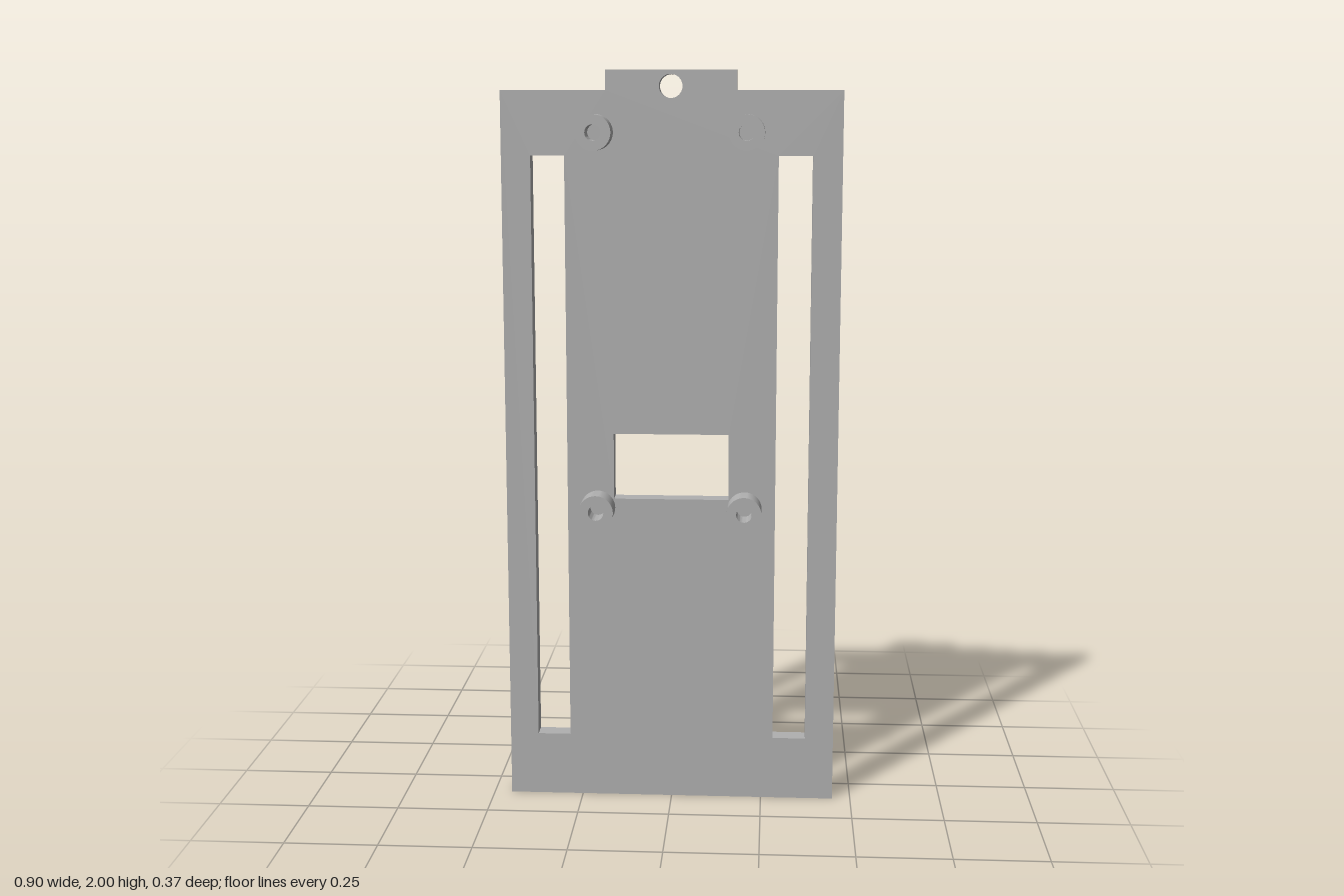
import * as THREE from 'three';
import { toCreasedNormals } from 'three/addons/utils/BufferGeometryUtils.js';

const BACK = 0.063, FRONT = 0.113; // plate faces along z
const CREASE = Math.PI / 5;

const polygon = (Type, points) => new Type(points.map(([x, y]) => new THREE.Vector2(x, y)));

const rect = (Type, x0, x1, y0, y1) => polygon(Type, [[x0, y0], [x1, y0], [x1, y1], [x0, y1]]);

const circleHole = (x, y, r) => new THREE.Path().absarc(x, y, r, 0, Math.PI * 2, true);

function extrude(shape, z0, z1) {
  const geometry = new THREE.ExtrudeGeometry(shape, { depth: z1 - z0, bevelEnabled: false, curveSegments: 20 });
  geometry.translate(0, 0, z0);
  return toCreasedNormals(geometry, CREASE);
}

export function createModel() {
  const model = new THREE.Group();
  model.name = 'mountingPlate';
  const grey = new THREE.MeshStandardMaterial({ color: 0xb0b0b0 });
  grey.name = 'grey';

  const add = (name, geometry, parent = model) => {
    const mesh = new THREE.Mesh(geometry, grey);
    mesh.name = name;
    parent.add(mesh);
    return mesh;
  };

  // Plate with hanging tab, two long slots, a window and a hanging hole
  const plate = polygon(THREE.Shape, [
    [-0.452, 0], [0.45, 0], [0.45, 1.948], [0.171, 1.948],
    [0.171, 2], [-0.174, 2], [-0.174, 1.948], [-0.452, 1.948],
  ]);
  plate.holes.push(
    rect(THREE.Path, -0.374, -0.284, 0.175, 1.778),
    rect(THREE.Path, 0.282, 0.372, 0.175, 1.778),
    rect(THREE.Path, -0.157, 0.155, 0.853, 1.033),
    circleHole(-0.002, 1.958, 0.031),
  );
  add('plate', extrude(plate, BACK, FRONT));

  // Four hollow standoffs on the front
  const profile = [[0.047, 0], [0.047, 0.071], [0.021, 0.071], [0.021, 0]];
  const lathe = new THREE.LatheGeometry(profile.map(([r, h]) => new THREE.Vector2(r, h)), 40);
  const standoff = toCreasedNormals(lathe.rotateX(Math.PI / 2), CREASE);
  for (const x of [-0.201, 0.199]) {
    for (const y of [0.828, 1.839]) {
      add('standoff', standoff).position.set(x, y, FRONT);
    }
  }

  // Two rear blocks, each with a blind screw hole
  const blocks = [
    { name: 'lowerBlock', y0: 0.163, y1: 0.339, holeY: 0.228 },
    { name: 'upperBlock', y0: 1.545, y1: 1.721, holeY: 1.66 },
  ];
  const holeEnd = 0.0;
  for (const { name, y0, y1, holeY } of blocks) {
    const block = new THREE.Group();
    block.name = name;
    model.add(block);
    const outline = () => rect(THREE.Shape, -0.104, 0.101, y0, y1);
    const drilled = outline();
    drilled.holes.push(circleHole(-0.001, holeY, 0.02));
    add('drilledEnd', extrude(drilled, -0.186, holeEnd), block);
    add('solidBase', extrude(outline(), holeEnd, BACK), block);
  }

  return model;
}
